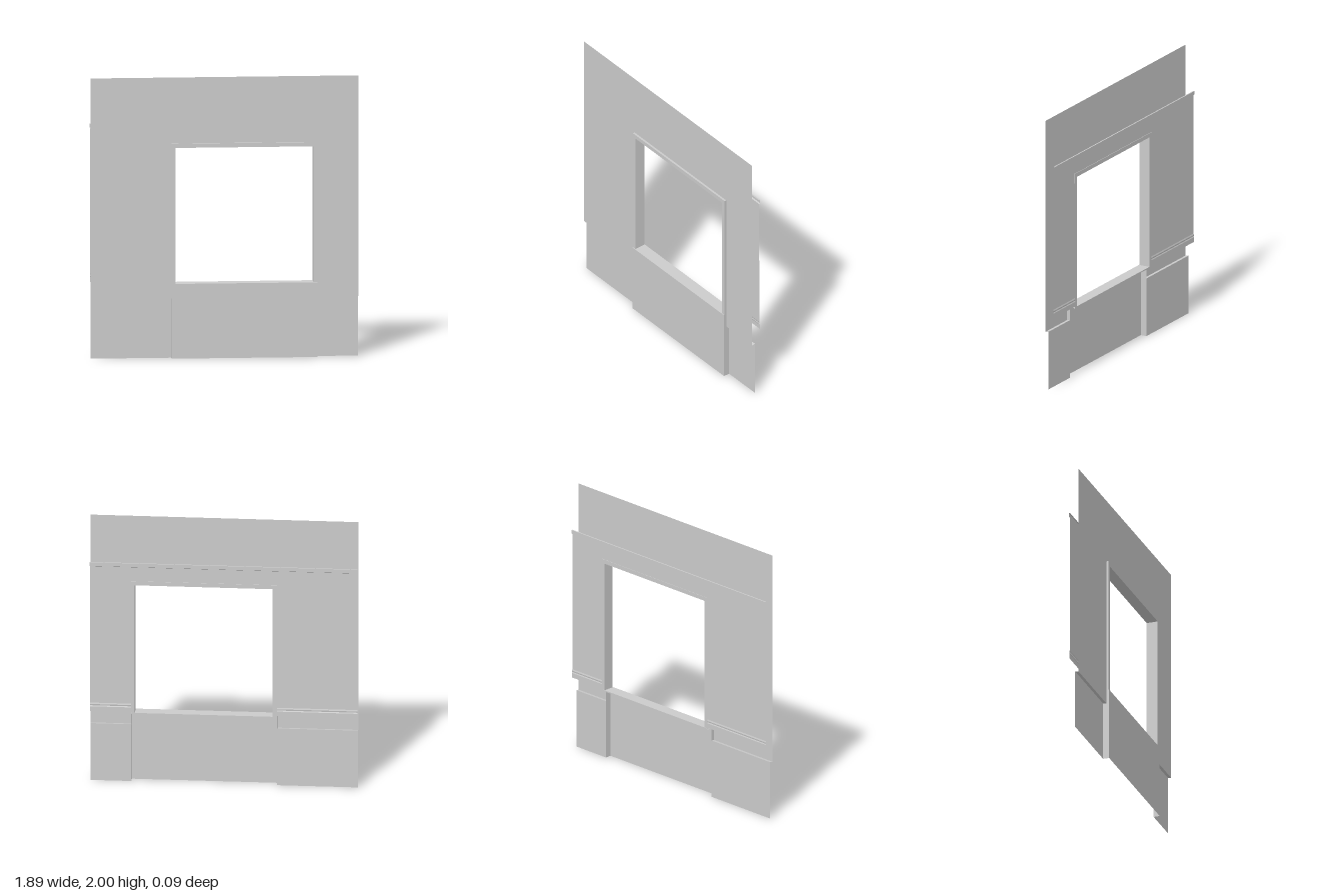
import * as THREE from 'three';

const material = new THREE.MeshStandardMaterial({ color: 0xcccccc, side: THREE.DoubleSide });

// Overall width, opening edges and key heights
const L = -0.945, R = 0.945, OL = -0.375, OR = 0.655;
const LEDGE = 0.43, SILL = 0.532, HEAD = 1.53, TOP = 2;

// Open sheet: a [y, z] profile swept along x
function sweep(name, profile, x0, x1) {
  const pos = [];
  for (let i = 0; i < profile.length - 1; i++) {
    const [ya, za] = profile[i], [yb, zb] = profile[i + 1];
    pos.push(x0, ya, za, x1, ya, za, x1, yb, zb);
    pos.push(x0, ya, za, x1, yb, zb, x0, yb, zb);
  }
  const g = new THREE.BufferGeometry();
  g.setAttribute('position', new THREE.Float32BufferAttribute(pos, 3));
  g.computeVertexNormals();
  const mesh = new THREE.Mesh(g, material);
  mesh.name = name;
  return mesh;
}

// Upright sheet across the depth at a given x
function cheek(name, x, y0, y1, z0, z1) {
  const mesh = new THREE.Mesh(new THREE.PlaneGeometry(z1 - z0, y1 - y0), material);
  mesh.rotation.y = Math.PI / 2;
  mesh.position.set(x, (y0 + y1) / 2, (z0 + z1) / 2);
  mesh.name = name;
  return mesh;
}

export function createModel() {
  const wall = new THREE.Group();
  wall.name = 'windowWall';

  // Outer skin: recessed plinth, small ledge, then the upper facing
  const outer = [[0, 0], [LEDGE, 0], [LEDGE - 0.004, 0.025], [HEAD, 0.025]];
  // Inner skin: ridged skirting, then plain lining
  const inner = [[0.54, -0.044], [0.575, -0.044], [0.582, -0.041], [0.592, -0.043],
    [0.602, -0.04], [HEAD, -0.039]];
  for (const [side, x0, x1] of [['right', L, OL], ['left', OR, R]]) {
    wall.add(sweep(side + 'OuterWall', outer, x0, x1));
    wall.add(sweep(side + 'InnerLining', inner, x0, x1));
  }
  wall.add(sweep('upperOuterWall', [[HEAD, 0.025], [TOP, 0.025]], L, R));

  // Lining above the opening with its cornice strip
  wall.add(sweep('upperLiningAndCornice',
    [[HEAD, -0.039], [1.635, -0.039], [1.64, -0.048], [1.667, -0.048], [1.667, -0.039]], L, R));

  // Projecting apron below the window, open at the back
  const apron = new THREE.Group();
  apron.name = 'apron';
  apron.add(sweep('apronFront', [[0, 0.045], [SILL, 0.045]], OL, OR));
  apron.add(cheek('apronRightCheek', OL, 0, SILL, 0, 0.045));
  apron.add(cheek('apronLeftCheek', OR, 0, SILL, 0, 0.045));
  wall.add(apron);

  // Sill across the full depth
  wall.add(sweep('sill',
    [[SILL, 0.045], [SILL + 0.002, -0.043], [0.525, -0.043], [0.525, 0]], OL, OR));

  // Window frame: two jambs and a head in one extrusion
  const s = new THREE.Shape();
  const pts = [[OL, SILL], [OL, HEAD], [OR, HEAD], [OR, SILL],
    [0.628, SILL], [0.628, 1.5], [-0.346, 1.5], [-0.346, SILL]];
  s.setFromPoints(pts.map(([x, y]) => new THREE.Vector2(x, y)));
  const frame = new THREE.Mesh(
    new THREE.ExtrudeGeometry(s, { depth: 0.082, bevelEnabled: false }), material);
  frame.position.z = -0.042;
  frame.name = 'windowFrame';
  wall.add(frame);

  return wall;
}
